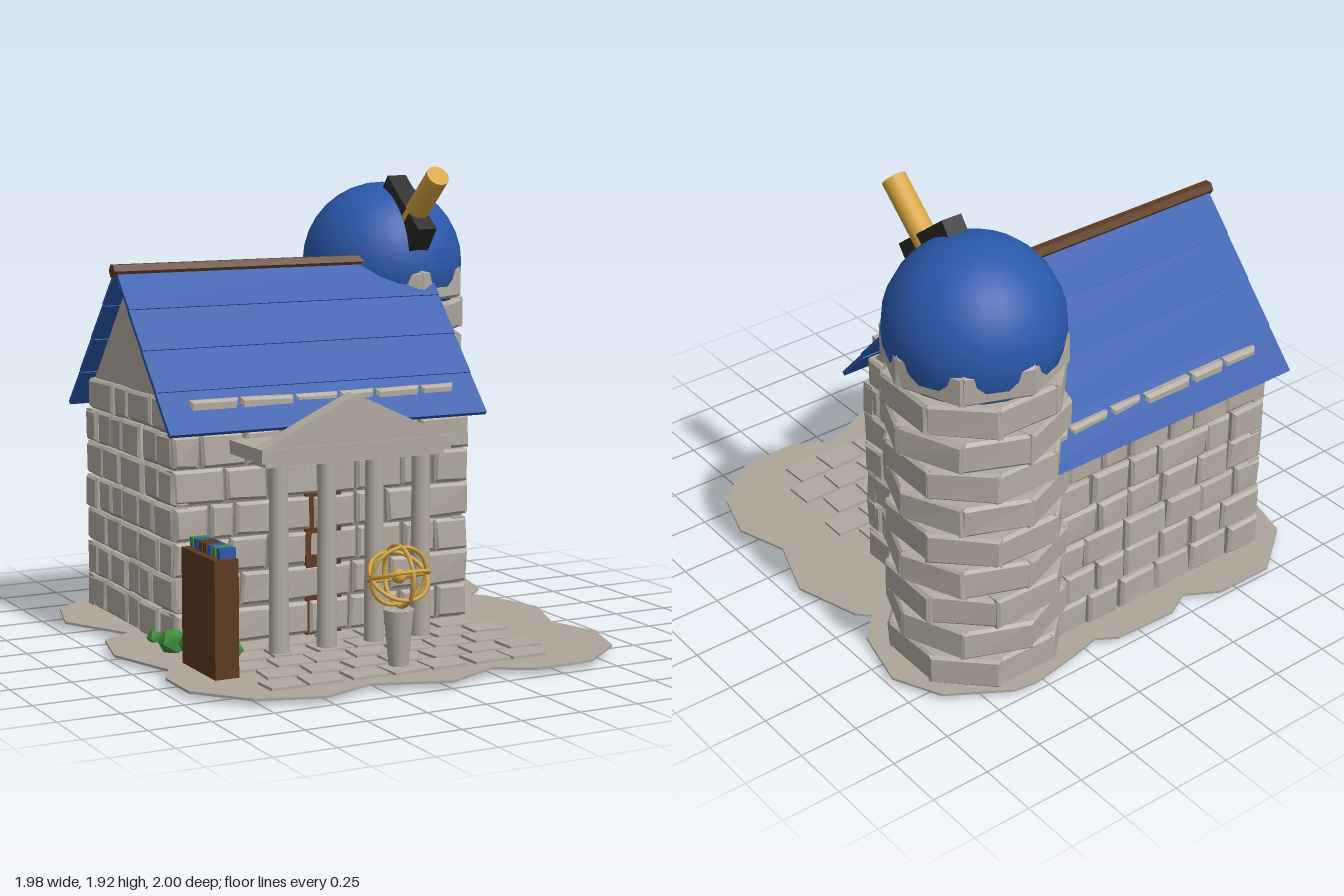
import * as THREE from 'three';
import { mergeGeometries } from 'three/addons/utils/BufferGeometryUtils.js';

const mat = (name, color) => {
  const m = new THREE.MeshStandardMaterial({ color });
  m.name = name;
  return m;
};

export function createModel() {
  const stone = mat('stone', 0xb2aaa0), earth = mat('earth', 0xaea69a), mortar = mat('mortar', 0x8a8178),
    blue = mat('blue', 0x2a58ab), brown = mat('brown', 0x5c3a20), gold = mat('gold', 0xd6a440),
    green = mat('green', 0x3f8f3c), black = mat('black', 0x2a2a2a);
  const model = new THREE.Group();
  model.name = 'observatory';
  let seed = 7;
  const rand = () => (seed = (seed * 16807) % 2147483647) / 2147483647;
  const jit = (a) => (rand() - 0.5) * 2 * a;

  const add = (name, geo, m, x = 0, y = 0, z = 0, parent = model) => {
    const mesh = new THREE.Mesh(geo, m);
    mesh.name = name;
    mesh.position.set(x, y, z);
    parent.add(mesh);
    return mesh;
  };
  const box = (name, m, w, h, d, x, y, z, parent) => add(name, new THREE.BoxGeometry(w, h, d), m, x, y, z, parent);
  const flat = (geo) => {
    const g = geo.index ? geo.toNonIndexed() : geo;
    g.computeVertexNormals();
    return g;
  };

  // Rough block with a chamfered outer (+z) face
  const brick = (w, h, d) => {
    const g = new THREE.BoxGeometry(w, h, d, 1, 1, 2), p = g.attributes.position;
    const wob = Array.from({ length: 8 }, () => jit(0.006));
    for (let i = 0; i < p.count; i++) {
      const sx = Math.sign(p.getX(i)), sy = Math.sign(p.getY(i)), z = p.getZ(i);
      const k = (sx > 0 ? 1 : 0) + (sy > 0 ? 2 : 0);
      const outer = z > 0.001, back = z < -0.001, inset = outer ? 0.012 : 0;
      p.setXYZ(i, sx * (w / 2 - inset) + wob[k], sy * (h / 2 - inset) + (back ? 0 : wob[k + 4] * 0.6),
        outer ? d / 2 + wob[k] * 0.6 : back ? -d / 2 : d / 2 - 0.012);
    }
    return flat(g);
  };
  const ROW = 0.1447;

  // Brick wall facing the direction ry, centred on (cx, cz) at its outer face
  const wall = (name, cx, cz, ry, len, trim) => {
    const parts = [];
    for (let r = 0; r < 7; r++) {
      const top = r === 6, L = len - (top ? trim : 0), low = top ? 0.01 : 0;
      const n = Math.max(3, Math.round(L / 0.2) + (r % 2));
      const cuts = [0];
      for (let i = 1; i < n; i++) cuts.push((i + (r % 2 ? -0.25 : 0.2) + jit(0.2)) / n * L);
      cuts.push(L);
      for (let i = 0; i < n; i++) {
        const g = brick(cuts[i + 1] - cuts[i] - 0.012, ROW - 0.01 - low, 0.07);
        g.translate((cuts[i] + cuts[i + 1]) / 2 - L / 2, 0.05 + ROW * (r + 0.5) - low / 2, -0.035 + jit(0.006));
        parts.push(g.rotateY(ry).translate(cx, 0, cz));
      }
    }
    add(name, mergeGeometries(parts), stone);
  };
  wall('frontWall', -0.08, 0.1, 0, 1.355, 0.14);
  wall('backWall', -0.08, -0.84, Math.PI, 1.355, 0.14);
  wall('rightWall', -0.758, -0.37, -Math.PI / 2, 0.93, 0.08);
  wall('leftWall', 0.598, -0.37, Math.PI / 2, 0.93, 0.08);

  // Mortar core of the house, and the gables above it
  box('houseCore', mortar, 1.305, 0.946, 0.89, -0.08, 0.507, -0.37);
  const gable = new THREE.Shape([[0.09, 0.98], [-0.37, 1.505], [-0.83, 0.98]].map(([a, b]) => new THREE.Vector2(a, b)));
  add('gables', new THREE.ExtrudeGeometry(gable, { depth: 1.31, bevelEnabled: false })
    .rotateY(-Math.PI / 2).translate(0.575, 0, 0), stone);

  // Roof planks on both slopes, and the ridge beam
  const run = 0.54, drop = 0.61, slope = Math.atan2(drop, run), slant = Math.hypot(run, drop);
  for (const side of [0, 1]) {
    const half = new THREE.Group();
    half.name = side ? 'backRoof' : 'frontRoof';
    half.position.set(-0.0825, 1.535, -0.37);
    half.rotation.y = side * Math.PI;
    for (let i = 0; i < 4; i++) {
      const t = (i + 0.5) / 4;
      box('roofPlank', blue, 1.435, 0.018, slant / 4 + 0.004, 0, -drop * t, run * t, half)
        .rotation.x = slope - 0.022;
    }
    model.add(half);
  }
  add('ridgeBeam', flat(new THREE.CylinderGeometry(0.03, 0.03, 1.3, 6).rotateZ(Math.PI / 2)), brown, -0.165, 1.533, -0.37);

  // Tower: octagonal courses, each turned half a block
  const TX = 0.557, TZ = -0.6, courses = [];
  for (let r = 0; r < 10; r++) {
    const R = r === 9 ? 0.331 : 0.335;
    for (let i = 0; i < 8; i++) {
      const g = brick(2 * R * Math.tan(Math.PI / 8) + 0.01, ROW - 0.012, 0.1);
      g.translate(0, 0.05 + ROW * (r + 0.5), R - 0.05 + jit(r === 9 ? 0.002 : 0.006));
      courses.push(g.rotateY((i + (r % 2) / 2) * Math.PI / 4).translate(TX, 0, TZ));
    }
  }
  add('towerBlocks', mergeGeometries(courses), stone);
  add('towerCore', new THREE.CylinderGeometry(0.29, 0.29, 1.41, 16), mortar, TX, 0.737, TZ);
  add('dome', new THREE.SphereGeometry(0.35, 24, 16), blue, TX, 1.507, TZ);

  // Telescope in its dome slot
  box('telescopeSlot', black, 0.09, 0.135, 0.35, 0.553, 1.729, -0.364).rotation.x = 0.67;
  add('telescopeTube', new THREE.CylinderGeometry(0.05, 0.05, 0.4, 16), gold, 0.555, 1.77, -0.253).rotation.x = 0.85;

  // Portico
  const PX = -0.085;
  for (const x of [-0.405, -0.192, 0.022, 0.235]) {
    add('column', new THREE.CylinderGeometry(0.037, 0.042, 0.76, 14), stone, x, 0.43, 0.33);
  }
  box('architrave', stone, 0.8, 0.035, 0.1, PX, 0.825, 0.33);
  box('porticoSlab', stone, 0.845, 0.055, 0.33, PX, 0.855, 0.23);
  const tri = new THREE.Shape([new THREE.Vector2(-0.415, 0), new THREE.Vector2(0.415, 0), new THREE.Vector2(0, 0.195)]);
  add('pediment', new THREE.ExtrudeGeometry(tri, { depth: 0.08, bevelEnabled: false }), stone, PX, 0.88, 0.305);
  box('door', brown, 0.16, 0.606, 0.025, PX, 0.333, 0.08);

  // Ground slab
  const outline = [[-0.67, -1], [-0.41, -1], [-0.27, -0.92], [-0.16, -0.98], [0.12, -0.97], [0.2, -0.92], [0.34, -0.95],
    [0.55, -0.985], [0.65, -0.97], [0.89, -0.82], [0.985, -0.62], [0.92, -0.35], [0.82, -0.25], [0.87, -0.2], [0.955, 0.08],
    [0.86, 0.35], [0.93, 0.57], [0.86, 0.8], [0.65, 0.97], [0.39, 0.98], [0.24, 0.89], [0.01, 0.995], [-0.3, 0.89],
    [-0.52, 0.975], [-0.78, 0.89], [-0.95, 0.68], [-0.95, 0.46], [-0.89, 0.35], [-0.99, 0.04], [-0.93, -0.21],
    [-0.8, -0.28], [-0.96, -0.58], [-0.89, -0.83]];
  const ground = new THREE.Shape(outline.map(([x, z]) => new THREE.Vector2(x, -z)));
  add('ground', new THREE.ExtrudeGeometry(ground, { depth: 0.01, bevelEnabled: false })
    .rotateX(-Math.PI / 2), earth, 0, 0.038, 0);

  // Paving stones in staggered rows
  const pavers = [];
  [0.19, 0.33, 0.475, 0.62, 0.765].forEach((z, r) => {
    for (let i = 0; i < 7; i++) {
      const g = new THREE.BoxGeometry(0.155 + jit(0.012), 0.014, 0.122 + jit(0.008));
      pavers.push(g.rotateY(jit(0.09)).translate(-0.61 + (r % 2 ? 0.075 : 0) + i * 0.178 + jit(0.01), 0.052, z));
    }
  });
  add('pavingStones', mergeGeometries(pavers), stone);

  // Armillary globe on a pedestal
  add('pedestal', new THREE.CylinderGeometry(0.06, 0.038, 0.23, 16), stone, PX, 0.165, 0.73);
  const globe = new THREE.Group();
  globe.name = 'armillaryGlobe';
  globe.position.set(PX, 0.41, 0.73);
  const ring = (rx, ry) => add('globeRing', new THREE.TorusGeometry(0.119, 0.0085, 6, 32), gold, 0, 0, 0, globe)
    .rotation.set(rx, ry, 0);
  ring(0, Math.PI / 2);
  for (let k = 0; k < 3; k++) ring(0.2 + k * Math.PI / 3, 0);
  add('globeCore', new THREE.SphereGeometry(0.03, 12, 8), gold, 0, 0, 0, globe);
  add('globeAxle', new THREE.CylinderGeometry(0.007, 0.007, 0.24, 6).rotateZ(Math.PI / 2), gold, 0, 0, 0, globe);
  model.add(globe);

  // Bookcase with book tops and book spines on its inner side
  box('bookcase', brown, 0.1, 0.476, 0.31, -0.75, 0.272, 0.435);
  [green, blue, brown, brown, blue, green, blue].forEach((m, i) => {
    box('bookTop', m, 0.068, 0.04, 0.031, -0.735, 0.529, 0.305 + i * 0.0415);
  });
  [[0.513, 0.5], [0.475, 0.39], [0.435, 0.27], [0.395, 0.16]].forEach(([z, y]) => {
    box('bookSpine', green, 0.008, 0.08, 0.03, -0.702, y, z);
  });

  // Faceted bushes, some of them sunk along the walls
  [[-0.65, 0.105, 0.37, 0.065], [-0.72, 0.1, 0.2, 0.06], [-0.76, 0.085, 0.09, 0.06], [-0.74, 0.06, -0.1, 0.05],
    [-0.33, 0.06, -0.73, 0.05], [0.05, 0.06, -0.73, 0.05], [-0.61, 0.06, -0.43, 0.05],
    [0.43, 0.06, -0.6, 0.045], [0.5, 0.06, -0.53, 0.045]]
    .forEach(([x, y, z, r]) => add('bush', new THREE.IcosahedronGeometry(r, 0), green, x, y, z));
  add('flower', new THREE.IcosahedronGeometry(0.018, 0), gold, -0.645, 0.16, 0.425);
  return model;
}
